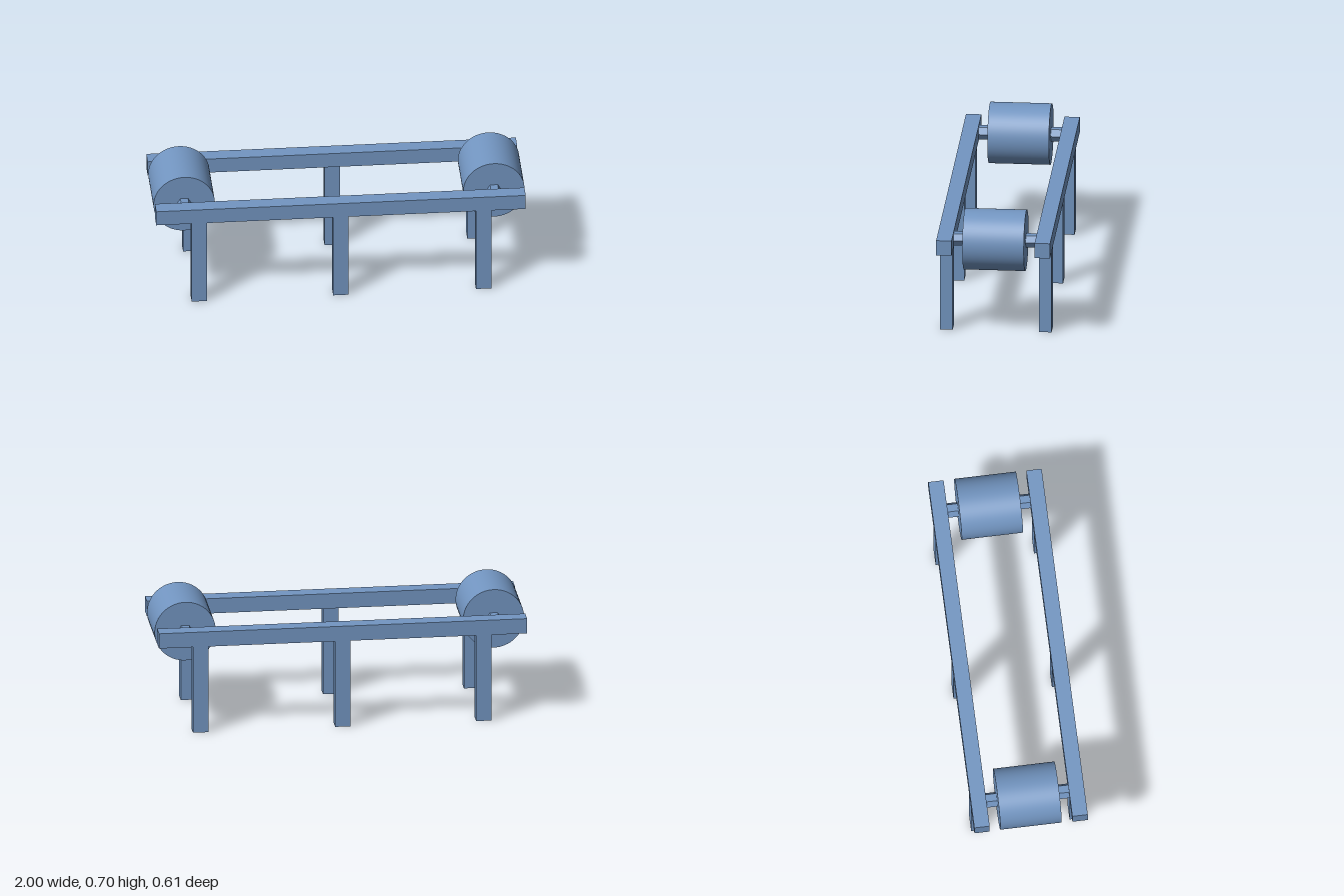
import * as THREE from 'three';

export function createModel() {
  const model = new THREE.Group();
  model.name = 'rollerFrame';
  const steel = new THREE.MeshStandardMaterial({ color: 0x7396c2 });
  steel.name = 'steelBlue';

  function add(name, geometry, x, y, z) {
    const mesh = new THREE.Mesh(geometry, steel);
    mesh.name = name;
    mesh.position.set(x, y, z);
    model.add(mesh);
    return mesh;
  }

  // Long side rails, each on three legs
  const railGeo = new THREE.BoxGeometry(1.99, 0.084, 0.083);
  const legGeo = new THREE.BoxGeometry(0.083, 0.495, 0.068);
  for (const [side, s] of [['front', 1], ['back', -1]]) {
    add(side + 'Rail', railGeo, -0.003, 0.531, s * 0.265);
    for (const [place, x] of [['Right', -0.765], ['Middle', -0.003], ['Left', 0.766]]) {
      add(side + place + 'Leg', legGeo, x, 0.2475, s * 0.266);
    }
  }

  // End drums on hexagonal axles held between the rails
  const drumGeo = new THREE.CylinderGeometry(0.165, 0.165, 0.331, 64).rotateX(Math.PI / 2);
  const axleGeo = new THREE.CylinderGeometry(0.0415, 0.0415, 0.5, 6)
    .rotateY(Math.PI / 2)
    .rotateX(Math.PI / 2)
    .scale(1, 0.067 / 0.0719, 1)
    .toNonIndexed();
  axleGeo.computeVertexNormals();
  for (const [end, x] of [['right', -0.835], ['left', 0.833]]) {
    add(end + 'Drum', drumGeo, x, 0.531, 0);
    add(end + 'Axle', axleGeo, x, 0.531, 0);
  }
  return model;
}
